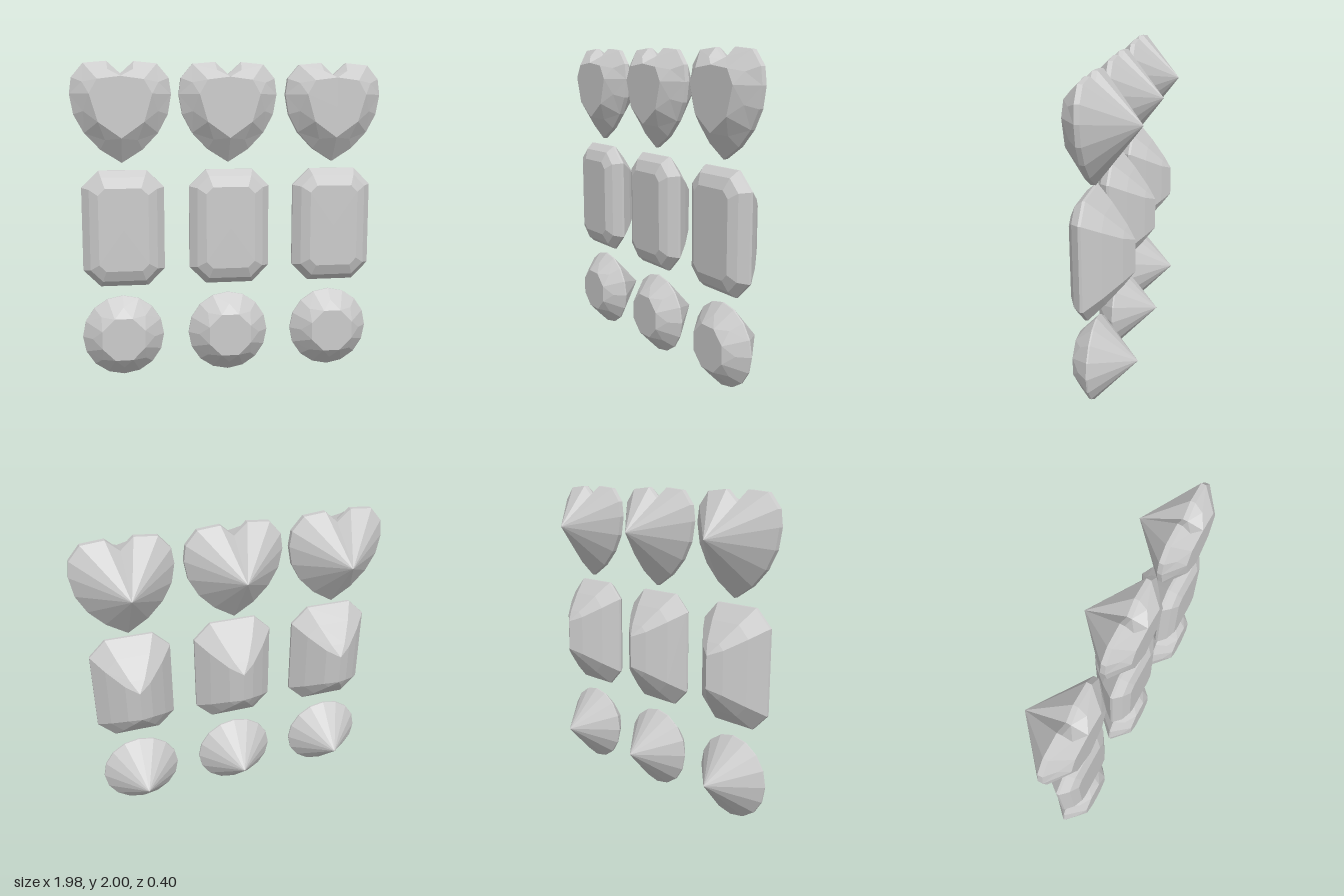
import * as THREE from 'three';

const material = new THREE.MeshStandardMaterial({ color: 0xcccccc, flatShading: true });

// Collects triangles; rings run counter-clockwise seen from the front (+z).
class Facets {
  constructor() { this.pos = []; }
  tri(a, b, c) { this.pos.push(...a, ...b, ...c); }
  // Joins a ring to one behind it
  strip(front, back) {
    const n = front.length;
    for (let i = 0; i < n; i++) {
      const k = (i + 1) % n;
      this.tri(front[i], back[i], back[k]);
      this.tri(front[i], back[k], front[k]);
    }
  }
  // Fans a ring to a point, facing front or back
  fan(ring, point, back = false) {
    ring.forEach((p, i) => {
      const q = ring[(i + 1) % ring.length];
      back ? this.tri(point, q, p) : this.tri(point, p, q);
    });
  }
  geometry() {
    const g = new THREE.BufferGeometry();
    g.setAttribute('position', new THREE.Float32BufferAttribute(this.pos, 3));
    g.computeVertexNormals();
    return g;
  }
}

const atZ = (ring, z) => ring.map(([x, y]) => [x, y, z]);

// Brilliant cut: 16-point girdle, 8-point table, star, kite and girdle facets, pointed back
function brilliant(outline, tableOutline, { cy, zTable, zMid, zFront, zBack, tip }) {
  const f = new Facets();
  const girdle = atZ(outline, zFront);
  const girdleBack = atZ(outline, zBack);
  const table = atZ(tableOutline, zTable);
  const n = table.length;
  const mid = table.map((t, j) => {
    const u = table[(j + 1) % n], g = girdle[2 * j + 1];
    return [(t[0] + u[0]) / 4 + g[0] / 2, (t[1] + u[1]) / 4 + g[1] / 2, zMid];
  });
  f.fan(table, [0, cy, zTable]);
  for (let j = 0; j < n; j++) {
    const t = table[j], m = mid[j], prev = mid[(j + n - 1) % n];
    const g0 = girdle[2 * j], g1 = girdle[2 * j + 1], g2 = girdle[(2 * j + 2) % (2 * n)];
    f.tri(t, m, table[(j + 1) % n]);
    f.tri(t, prev, g0);
    f.tri(t, g0, m);
    f.tri(m, g0, g1);
    f.tri(m, g1, g2);
  }
  f.strip(girdle, girdleBack);
  f.fan(girdleBack, tip, true);
  return f.geometry();
}

// Mirrors a half outline that runs from the top centre down the +x side
function mirrorHalf(half) {
  const left = half.map(([x, y]) => [-x, y]);
  return [...left, ...half.slice(1, -1).reverse()];
}

function heartGeometry() {
  const outline = mirrorHalf([[0, 1.925], [0.083, 2], [0.225, 1.987], [0.298, 1.9], [0.312, 1.8],
    [0.29, 1.675], [0.228, 1.56], [0.13, 1.457], [0, 1.375]]);
  const table = mirrorHalf([[0, 1.905], [0.14, 1.887], [0.19, 1.8], [0.14, 1.63], [0, 1.53]]);
  return brilliant(outline, table,
    { cy: 1.72, zTable: 0.2, zMid: 0.152, zFront: 0.1, zBack: 0.07, tip: [0, 1.73, -0.2] });
}

function roundGeometry() {
  const cy = 0.262;
  const circle = (n, r) => Array.from({ length: n }, (_, i) => {
    const a = Math.PI / 8 + (i / n) * Math.PI * 2;
    return [r * Math.cos(a), cy + r * Math.sin(a)];
  });
  return brilliant(circle(16, 0.26), circle(8, 0.146),
    { cy, zTable: 0.2, zMid: 0.15, zFront: 0.088, zBack: 0.078, tip: [0, cy, -0.172] });
}

// Step cut: stacked chamfered rectangles closing to a keel at the back
function stepGeometry() {
  const cy = 0.962;
  const ring = ([w, h, c, z]) => [
    [w, -h + c], [w, h - c], [w - c, h], [-w + c, h],
    [-w, h - c], [-w, -h + c], [-w + c, -h], [w - c, -h],
  ].map(([x, y]) => [x, cy + y, z]);
  // half width, half height, corner cut, z
  const rings = [
    [0.155, 0.26, 0.043, 0.19],
    [0.21, 0.328, 0.075, 0.16],
    [0.257, 0.368, 0.107, 0.112],
    [0.257, 0.368, 0.107, 0.095],
    [0.18, 0.277, 0.075, 0],
    [0.08, 0.168, 0.034, -0.1],
    [0, 0.1, 0, -0.155],
  ].map(ring);
  const f = new Facets();
  f.fan(rings[0], [0, cy, 0.19]);
  for (let i = 1; i < rings.length; i++) f.strip(rings[i - 1], rings[i]);
  return f.geometry();
}

export function createModel() {
  const group = new THREE.Group();
  group.name = 'gemSet';
  const rows = [
    ['heartGem', heartGeometry(), [-0.678, -0.007, 0.676]],
    ['stepCutGem', stepGeometry(), [-0.675, -0.002, 0.672]],
    ['roundGem', roundGeometry(), [-0.687, -0.006, 0.672]],
  ];
  // Three copies of each cut, side by side
  for (const [name, geometry, columns] of rows) {
    columns.forEach((x, i) => {
      const gem = new THREE.Mesh(geometry, material);
      gem.name = `${name}${i + 1}`;
      gem.position.x = x;
      group.add(gem);
    });
  }
  return group;
}
